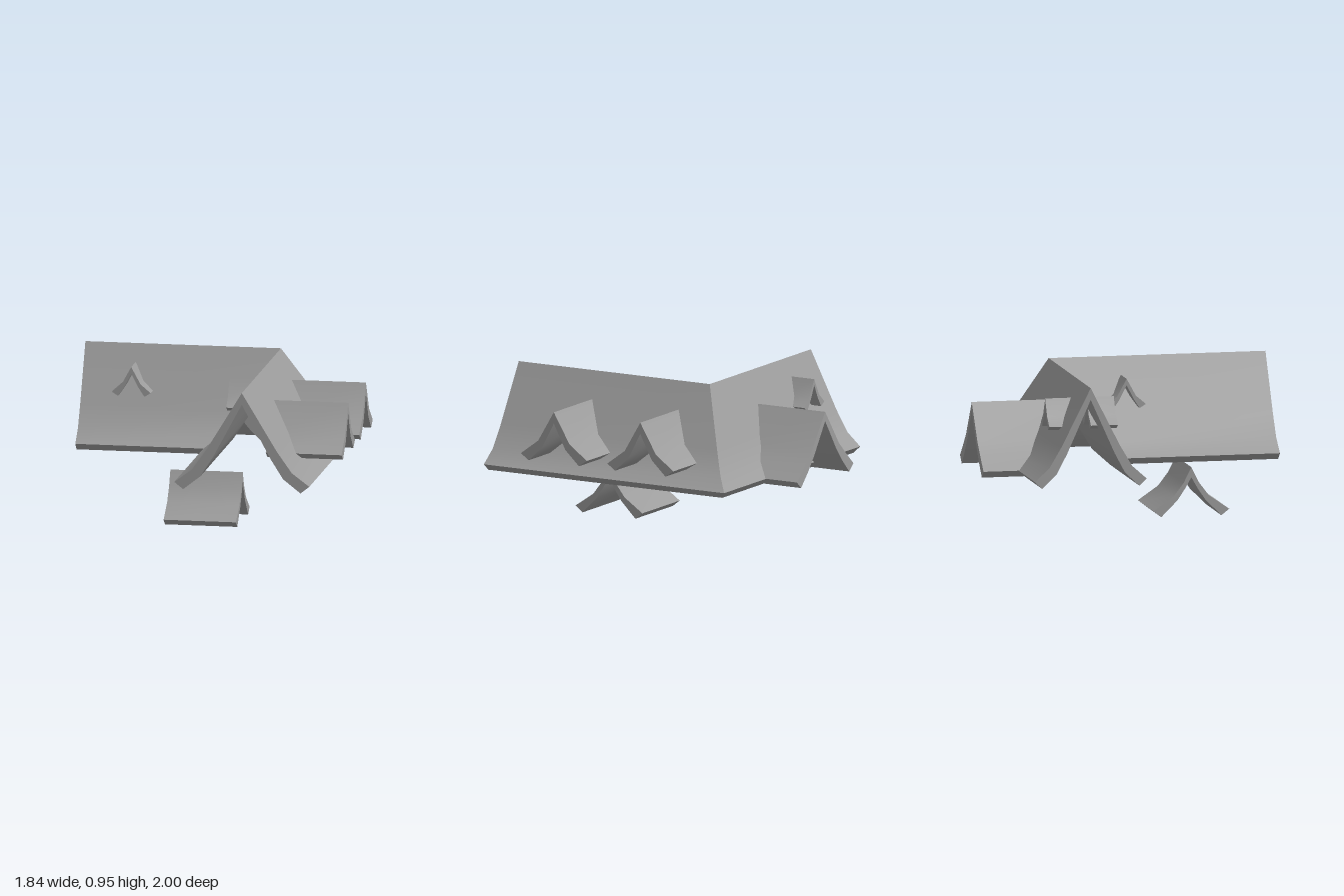
import * as THREE from 'three';
import { toCreasedNormals } from 'three/addons/utils/BufferGeometryUtils.js';

const material = new THREE.MeshStandardMaterial({ color: 0x9c9c9c, side: THREE.DoubleSide });

// Half profiles [offset from ridge, height], ridge to eave: outer skin and inner skin
const MAIN = {
  outer: [[0, 0.955], [0.225, 0.585], [0.322, 0.448], [0.435, 0.364]],
  inner: [[0, 0.88], [0.185, 0.535], [0.266, 0.407], [0.378, 0.319]],
};
const DORMER = {
  outer: [[0, 0.79], [0.115, 0.595], [0.243, 0.5]],
  inner: [[0, 0.717], [0.085, 0.555], [0.185, 0.46]],
};
const BACK = {
  outer: [[0, 0.76], [0.17, 0.53], [0.26, 0.445], [0.352, 0.365]],
  inner: [[0, 0.7], [0.14, 0.495], [0.215, 0.405], [0.3, 0.32]],
};
const SMALL = {
  outer: [[0, 0.845], [0.06, 0.735], [0.125, 0.68]],
  inner: [[0, 0.805], [0.045, 0.715], [0.085, 0.655]],
};
const CANOPY = {
  outer: [[0, 0.315], [0.05, 0.215], [0.115, 0.13], [0.246, 0.04]],
  inner: [[0, 0.25], [0.04, 0.18], [0.09, 0.105], [0.195, 0]],
};

// Closed, curved gable shell; place(u, t) gives [x, z] for offset u and run t (0 to 1)
function gable(name, { outer, inner }, place) {
  const mirror = (pts) => pts.slice(1).map(([u, y]) => [-u, y]);
  const loop = [
    ...mirror(outer).reverse(), ...outer,
    ...[...inner].reverse(), ...mirror(inner),
  ];
  const shape = new THREE.Shape(loop.map(([u, y]) => new THREE.Vector2(u, y)));
  const geometry = new THREE.ExtrudeGeometry(shape, { depth: 1, bevelEnabled: false });
  const pos = geometry.attributes.position;
  for (let i = 0; i < pos.count; i++) {
    const [x, z] = place(pos.getX(i), pos.getZ(i));
    pos.setX(i, x);
    pos.setZ(i, z);
  }
  const mesh = new THREE.Mesh(toCreasedNormals(geometry, Math.PI / 6), material);
  mesh.name = name;
  return mesh;
}

const lerp = THREE.MathUtils.lerp;
const alongX = (z, x0, x1) => (u, t) => [lerp(x0, x1, t), z - u];
const alongZ = (x, z0, z1) => (u, t) => [x + u, lerp(z0, z1, t)];

export function createModel() {
  const model = new THREE.Group();
  model.name = 'roof';

  // Two main wings, mitred where their ridges meet
  const ridgeX = 0.34, ridgeZ = -0.407, squeeze = 0.363 / 0.435;
  const mitreZ = (u) => ridgeZ - u * squeeze;
  model.add(
    gable('frontWing', MAIN, (u, t) => [ridgeX + u, lerp(mitreZ(u), 1, t)]),
    gable('sideWing', MAIN, (u, t) => [lerp(-0.92, ridgeX + u, t), mitreZ(u)]),
  );

  // Pair of dormers on the left slope
  for (const z of [0.4, -0.237]) model.add(gable('sideDormer', DORMER, alongX(z, 0.43, 0.918)));

  // Wide dormer at the back, its right leg cut back to follow the main slope
  model.add(gable('backDormer', BACK, (u, t) => [-0.095 + u, lerp(-1, -0.5 + 0.55 * Math.min(u, 0), t)]));

  // Small roof vents
  model.add(
    gable('frontVent', SMALL, alongZ(-0.585, -0.36, -0.185)),
    gable('backVent', SMALL, alongZ(-0.585, -0.63, -0.46)),
    gable('innerVent', SMALL, alongX(0.045, 0.09, 0.262)),
  );

  // Low porch canopy
  model.add(gable('porchCanopy', CANOPY, alongX(0.396, -0.228, 0.238)));

  return model;
}
